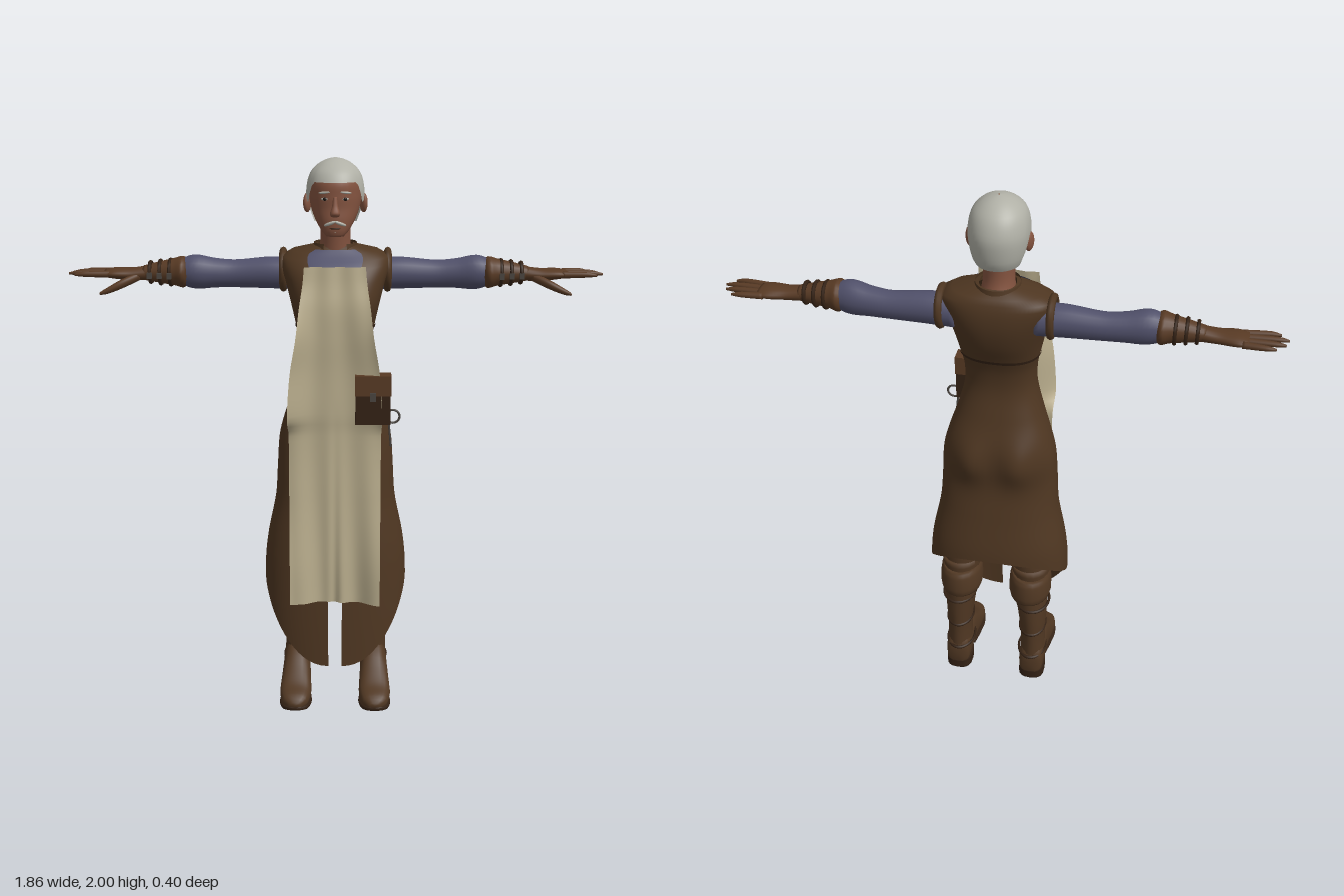
import * as THREE from 'three';

const mat = (name, color, double) => {
  const m = new THREE.MeshStandardMaterial({ color });
  m.name = name;
  if (double) m.side = THREE.DoubleSide;
  return m;
};

// smooth interpolation of table rows [p, ...values]
function sample(rows, p) {
  let i = 0;
  while (i < rows.length - 2 && p > rows[i + 1][0]) i++;
  const a = rows[i], b = rows[i + 1], h = b[0] - a[0];
  const t = Math.min(1, Math.max(0, (p - a[0]) / h));
  const slope = (k, c) => {
    const l = rows[Math.max(0, k - 1)], r = rows[Math.min(rows.length - 1, k + 1)];
    return (r[c] - l[c]) / (r[0] - l[0]);
  };
  return a.slice(1).map((v, k) => {
    const c = k + 1, t2 = t * t, t3 = t2 * t;
    return (2 * t3 - 3 * t2 + 1) * v + (t3 - 2 * t2 + t) * h * slope(i, c)
      + (3 * t2 - 2 * t3) * b[c] + (t3 - t2) * h * slope(i + 1, c);
  });
}

// surface grid from fn(u, v) -> [x, y, z]
function grid(fn, nu, nv, closed) {
  const pos = [], idx = [], w = closed ? nu : nu + 1;
  for (let j = 0; j <= nv; j++) for (let i = 0; i < w; i++) pos.push(...fn(i / nu, j / nv));
  for (let j = 0; j < nv; j++) for (let i = 0; i < nu; i++) {
    const a = j * w + i, b = j * w + (i + 1) % w;
    idx.push(a, a + w, b, b, a + w, b + w);
  }
  const g = new THREE.BufferGeometry();
  g.setAttribute('position', new THREE.Float32BufferAttribute(pos, 3));
  g.setIndex(idx);
  g.computeVertexNormals();
  return g;
}

const spow = (v, e) => Math.sign(v) * Math.abs(v) ** e;

// capped loft along an axis; rows [p, u, v, ru, rv] with (u, v) = y:(x,z) z:(y,x) x:(z,y)
function loft(axis, rows, nu = 20, n = 2, nv = rows.length * 4) {
  const p0 = rows[0][0], p1 = rows[rows.length - 1][0], N = nv + 2;
  return grid((s, q) => {
    const j = Math.round(q * N);
    const p = p0 + (p1 - p0) * Math.min(1, Math.max(0, (j - 1) / nv));
    const [u, v, ru, rv] = sample(rows, p), k = j === 0 || j === N ? 0.02 : 1, t = s * Math.PI * 2;
    const a = u + k * ru * spow(Math.cos(t), 2 / n), b = v + k * rv * spow(Math.sin(t), 2 / n);
    return axis === 'y' ? [a, p, b] : axis === 'z' ? [b, a, p] : [p, b, a];
  }, nu, N, true);
}

// point on a horizontal shell; rows [y, halfWidth, zBack, zFront]
function shell(rows, t, y, n, grow = 0) {
  const [w, zb, zf] = sample(rows, y);
  return [(w + grow) * spow(Math.cos(t), 2 / n), y,
    (zf + zb) / 2 + ((zf - zb) / 2 + grow) * spow(Math.sin(t), 2 / n)];
}

const COAT = [[0.18, 0.25, -0.2, 0.157], [0.35, 0.26, -0.2, 0.148], [0.55, 0.258, -0.195, 0.135], [0.65, 0.247, -0.19, 0.128],
  [0.8, 0.217, -0.162, 0.115], [0.92, 0.208, -0.142, 0.11], [1.03, 0.2, -0.145, 0.105], [1.1, 0.183, -0.14, 0.105],
  [1.2, 0.15, -0.113, 0.108], [1.3, 0.125, -0.09, 0.1], [1.38, 0.125, -0.095, 0.1], [1.44, 0.137, -0.115, 0.108],
  [1.51, 0.152, -0.145, 0.136], [1.58, 0.17, -0.162, 0.115], [1.64, 0.186, -0.162, 0.078], [1.68, 0.175, -0.15, 0.035],
  [1.7, 0.11, -0.135, 0.02], [1.71, 0.06, -0.11, 0.01]];
const HAIR = [[1.77, 0.072, -0.115, 0.06], [1.8, 0.085, -0.134, 0.07], [1.86, 0.097, -0.146, 0.088], [1.9, 0.098, -0.145, 0.094],
  [1.95, 0.085, -0.124, 0.073], [1.98, 0.057, -0.092, 0.038], [1.995, 0.027, -0.06, 0.003], [2, 0.003, -0.033, -0.027]];
const APRON = [[0.45, 0.16, 0.162, 0.03], [0.6, 0.16, 0.16, 0.025], [0.85, 0.16, 0.15, 0.005], [1.08, 0.16, 0.142, 0.008],
  [1.14, 0.163, 0.145, 0.05], [1.3, 0.152, 0.145, 0.052], [1.42, 0.132, 0.15, 0.045], [1.52, 0.12, 0.15, 0.015],
  [1.6, 0.108, 0.138, 0], [1.655, 0.103, 0.132, 0]];

export function createModel() {
  const M = {
    coat: mat('coat brown', 0x4e3621, true), leather: mat('boot leather', 0x513823), glove: mat('glove leather', 0x583a24),
    cloth: mat('apron cream', 0xb9ad8d, true), shirt: mat('shirt blue', 0x50506a, true), skin: mat('skin', 0x83533f),
    hair: mat('hair grey', 0xb0b0a6, true), dark: mat('dark leather', 0x342215), metal: mat('dark metal', 0x4a4540),
    eye: mat('eye black', 0x1e1814),
  };
  const root = new THREE.Group();
  const add = (name, geo, material, pos = [0, 0, 0], rot = [0, 0, 0], scale = [1, 1, 1], parent = root) => {
    const m = new THREE.Mesh(geo, material);
    m.name = name;
    m.position.set(...pos); m.rotation.set(...rot); m.scale.set(...scale);
    parent.add(m);
    return m;
  };
  const ball = new THREE.SphereGeometry(1, 18, 12);
  const { PI } = Math, X = PI / 2;

  // long coat: low hem in front, high behind, slit at the front
  add('coat', grid((u, v) => {
    const t0 = X + 2 * PI * u, s0 = Math.sin(t0);
    const hem = s0 > 0 ? 0.5 - 0.31 * s0 ** 1.6 : 0.5 - 0.12 * s0;
    const y = hem + (1.71 - hem) * v;
    const gap = 0.06 * Math.min(1, Math.max(0, (0.95 - y) / 0.4));
    const q = shell(COAT, X + gap + (2 * PI - 2 * gap) * u, y, 2.4);
    if (s0 < 0) q[2] -= 0.024 * Math.exp(-(((Math.abs(q[0]) - 0.085) / 0.06) ** 2) - ((y - 1.03) / 0.085) ** 2);
    return q;
  }, 72, 60), M.coat);
  add('vestHem', grid((u, v) => shell(COAT, 2 * PI * u, 1.432 + 0.012 * v, 2.4, 0.003), 48, 1, true), M.dark);
  add('shirtFront', grid((u, v) => shell(COAT, X + (u - 0.5) * (0.35 + 0.65 * v), 1.5 + 0.197 * v, 2.4, 0.004), 16, 16), M.shirt);
  add('collar', grid((u, v) => {
    const t = X + 0.55 + (2 * PI - 1.1) * u, r = 1 - 0.08 * v;
    return [0.08 * r * Math.cos(t), 1.68 + 0.035 * v, -0.05 + 0.085 * r * Math.sin(t)];
  }, 32, 3), M.coat);

  // hanging apron with forward-curling edges and soft folds
  add('apron', grid((u, v) => {
    const y = 0.45 + 1.205 * v, s = 1 - 2 * u, [w, zc, e] = sample(APRON, y);
    const low = Math.max(0, 1 - v * 1.6);
    const z = zc + e * Math.abs(s) ** 3 * (s > 0 && y > 1 ? 0.5 : 1)
      + 0.006 * Math.sin(s * 8 + y * 2) * (0.4 + low) - 0.014 * low * Math.exp(-((s / 0.1) ** 2));
    return [s * w, y, z];
  }, 48, 60), M.cloth);

  // belt bag with flap, strap and key ring
  add('bag', new THREE.BoxGeometry(0.12, 0.17, 0.05), M.dark, [0.13, 1.205, 0.145]);
  add('bagFlap', new THREE.BoxGeometry(0.124, 0.07, 0.056), M.glove, [0.13, 1.257, 0.145]);
  add('bagClasp', new THREE.BoxGeometry(0.02, 0.03, 0.008), M.metal, [0.13, 1.22, 0.175]);
  add('keyRing', new THREE.TorusGeometry(0.023, 0.004, 6, 20), M.metal, [0.2, 1.14, 0.13]);
  add('key', new THREE.CylinderGeometry(0.004, 0.004, 0.09, 6), M.metal, [0.19, 1.075, 0.13], [0, 0, 0.1]);

  // head and face
  add('neck', loft('y', [[1.65, 0, -0.05, 0.062, 0.07], [1.72, 0, -0.035, 0.052, 0.06], [1.8, 0, -0.03, 0.052, 0.065]]), M.skin);
  add('head', loft('y', [[1.748, 0, 0.056, 0.03, 0.024], [1.765, 0, 0.04, 0.046, 0.046], [1.8, 0, 0.01, 0.068, 0.078],
    [1.84, 0, -0.015, 0.083, 0.1], [1.88, 0, -0.023, 0.088, 0.109], [1.93, 0, -0.025, 0.083, 0.105],
    [1.97, 0, -0.028, 0.055, 0.07], [1.985, 0, -0.028, 0.02, 0.03]], 28, 2.2), M.skin);
  add('hair', grid((u, v) => {
    const t = 2 * PI * u, s = Math.sin(t);
    const k = THREE.MathUtils.smoothstep(s, -0.4, -0.15), f = THREE.MathUtils.smoothstep(s, 0.35, 0.7);
    const hem = 1.782 + 0.075 * k + 0.068 * f;
    return shell(HAIR, t, hem + (2 - hem) * Math.sin(v * X), 2.1);
  }, 48, 20, true), M.hair);
  add('nose', loft('y', [[1.815, 0, 0.088, 0.013, 0.012], [1.825, 0, 0.093, 0.017, 0.017], [1.85, 0, 0.088, 0.01, 0.012],
    [1.88, 0, 0.08, 0.007, 0.01]], 12), M.skin);
  add('mouth', ball, M.dark, [0, 1.776, 0.082], [0, 0, 0], [0.02, 0.004, 0.007]);
  add('chinTuft', ball, M.hair, [0, 1.765, 0.08], [0, 0, 0], [0.009, 0.006, 0.006]);
  for (const s of [-1, 1]) {
    add('ear', ball, M.skin, [s * 0.096, 1.85, -0.03], [0, s * 0.4, 0], [0.012, 0.033, 0.021]);
    add('moustache', ball, M.hair, [s * 0.018, 1.792, 0.083], [0, s * 0.35, -s * 0.35], [0.022, 0.006, 0.007]);
    add('eyeSocket', ball, M.hair, [s * 0.034, 1.872, 0.077], [0, s * 0.3, 0], [0.013, 0.005, 0.005]);
    add('pupil', ball, M.eye, [s * 0.034, 1.872, 0.081], [0, s * 0.3, 0], [0.006, 0.006, 0.004]);
    add('eyebrow', ball, M.hair, [s * 0.036, 1.893, 0.079], [0, s * 0.35, -s * 0.1], [0.02, 0.004, 0.005]);
  }

  // one side's limbs, built at +x and mirrored
  for (const s of [1, -1]) {
    const side = new THREE.Group();
    side.name = s > 0 ? 'leftLimbs' : 'rightLimbs';
    side.scale.x = s;
    root.add(side);
    const put = (name, geo, m, pos, rot, scale) => add(name, geo, m, pos, rot, scale, side);

    put('sleeve', loft('x', [[0.13, -0.075, 1.6, 0.055, 0.055], [0.22, -0.075, 1.604, 0.052, 0.056], [0.35, -0.077, 1.6, 0.044, 0.049],
      [0.42, -0.073, 1.603, 0.047, 0.052], [0.49, -0.066, 1.608, 0.052, 0.06], [0.54, -0.065, 1.608, 0.042, 0.045]]), M.shirt);
    put('armhole', new THREE.TorusGeometry(0.058, 0.013, 8, 28), M.coat, [0.182, 1.615, -0.075], [0, X, -0.15], [1.05, 1.1, 1]);
    put('gloveCuff', loft('x', [[0.515, -0.063, 1.608, 0.045, 0.043], [0.53, -0.063, 1.608, 0.058, 0.055], [0.56, -0.063, 1.608, 0.047, 0.048],
      [0.62, -0.065, 1.606, 0.036, 0.036], [0.67, -0.066, 1.604, 0.03, 0.025]]), M.glove);
    for (const [x, r] of [[0.575, 0.044], [0.61, 0.04], [0.645, 0.035]]) {
      put('wristStrap', new THREE.TorusGeometry(r, 0.007, 6, 20), M.dark, [x, 1.606, -0.065], [0, X, 0]);
      put('strapBuckle', new THREE.BoxGeometry(0.016, 0.02, 0.014), M.metal, [x, 1.6, -0.06 + r]);
    }
    put('hand', loft('x', [[0.65, -0.066, 1.604, 0.03, 0.026], [0.71, -0.066, 1.6, 0.036, 0.022], [0.77, -0.07, 1.602, 0.047, 0.019],
      [0.805, -0.073, 1.602, 0.043, 0.013]]), M.glove);
    for (const [i, len] of [0.1, 0.125, 0.115, 0.085].entries()) {
      const z = -0.038 - i * 0.024, spread = (1.5 - i) * 0.006;
      put('finger', loft('x', [[0.785, z, 1.602, 0.011, 0.012], [0.785 + len * 0.9, z + spread, 1.604, 0.009, 0.009],
        [0.79 + len + 0.015, z + spread, 1.602, 0.004, 0.004]], 10), M.glove);
    }
    put('thumb', loft('x', [[0.68, -0.05, 1.596, 0.015, 0.015], [0.74, -0.022, 1.572, 0.017, 0.016], [0.79, -0.007, 1.55, 0.011, 0.011],
      [0.815, -0.002, 1.541, 0.005, 0.005]], 12), M.glove);

    // leg and boot
    put('thigh', loft('y', [[0.5, 0.132, -0.09, 0.068, 0.075], [0.65, 0.125, -0.085, 0.075, 0.08], [0.9, 0.105, -0.04, 0.085, 0.085]]), M.leather);
    put('bootShaft', loft('y', [[0.08, 0.146, -0.09, 0.048, 0.068], [0.2, 0.145, -0.09, 0.046, 0.07], [0.3, 0.142, -0.09, 0.053, 0.076],
      [0.42, 0.135, -0.088, 0.062, 0.08], [0.57, 0.132, -0.09, 0.072, 0.083]]), M.leather);
    put('bootCuff', loft('y', [[0.425, 0.132, -0.098, 0.074, 0.095], [0.45, 0.132, -0.098, 0.079, 0.1], [0.51, 0.132, -0.096, 0.076, 0.095],
      [0.53, 0.132, -0.094, 0.068, 0.085]]), M.leather);
    put('foot', loft('z', [[-0.16, 0.075, 0.146, 0.045, 0.03], [-0.145, 0.08, 0.146, 0.07, 0.045], [-0.05, 0.1, 0.146, 0.09, 0.05],
      [0, 0.09, 0.146, 0.078, 0.052], [0.05, 0.068, 0.147, 0.056, 0.056], [0.1, 0.048, 0.148, 0.038, 0.058],
      [0.15, 0.038, 0.148, 0.027, 0.045], [0.173, 0.034, 0.148, 0.012, 0.02]], 20, 2.5), M.leather);
    put('sole', loft('z', [[-0.03, 0.018, 0.146, 0.008, 0.045], [0.04, 0.011, 0.147, 0.01, 0.055], [0.1, 0.01, 0.148, 0.01, 0.06],
      [0.155, 0.017, 0.148, 0.01, 0.045], [0.175, 0.022, 0.148, 0.007, 0.02]], 16, 4), M.dark);
    put('heel', loft('y', [[0, 0.146, -0.1, 0.05, 0.06], [0.04, 0.146, -0.098, 0.049, 0.064]], 20, 2.8), M.dark);
    for (const [y, rx, rz] of [[0.12, 0.052, 0.077], [0.24, 0.049, 0.073], [0.37, 0.06, 0.08]])
      put('bootStrap', new THREE.TorusGeometry(1, 0.09, 6, 28), M.dark, [0.143, y, -0.088], [X, 0, 0], [rx, rz, 0.07]);
  }
  return root;
}
